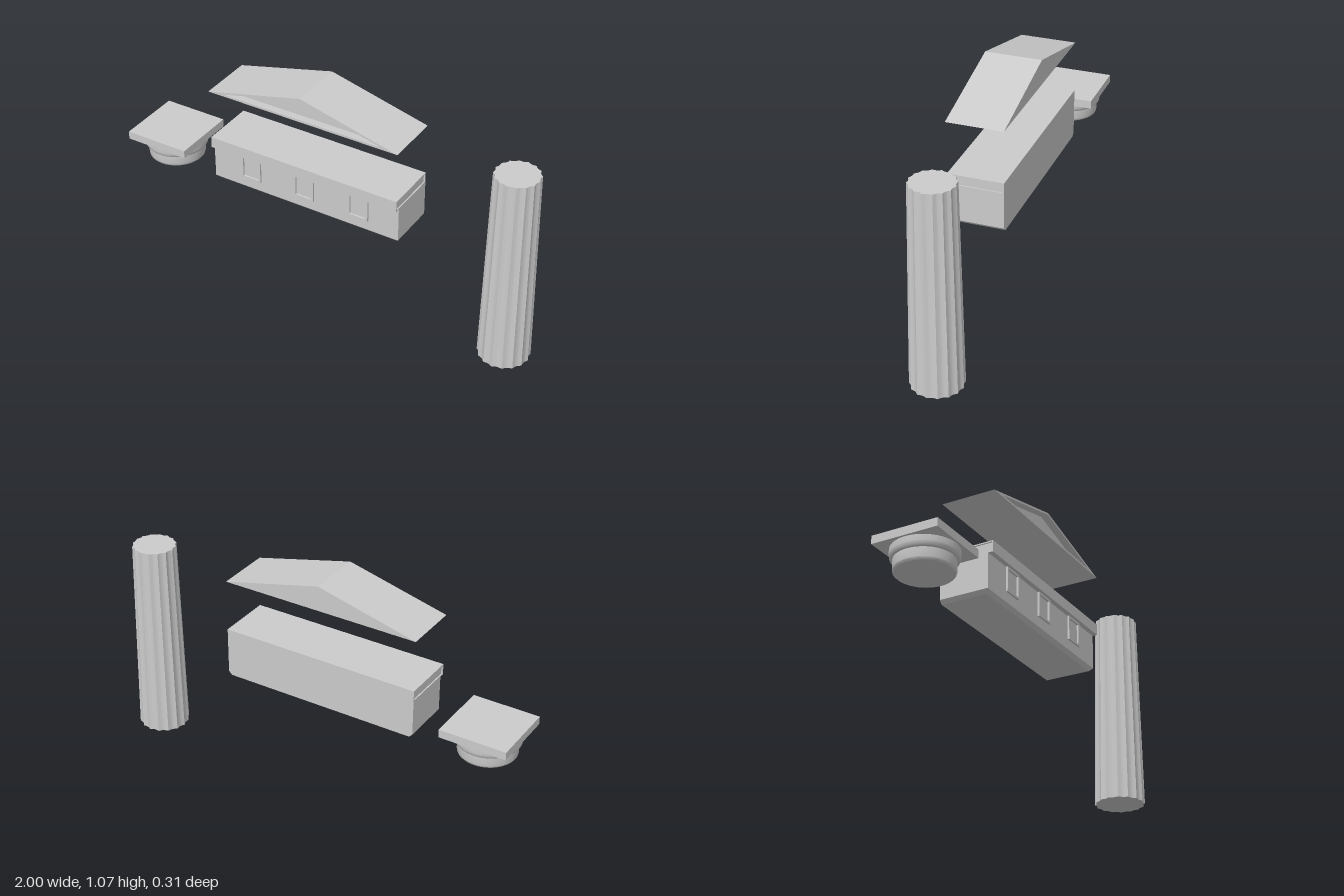
import * as THREE from 'three';
import { toCreasedNormals } from 'three/addons/utils/BufferGeometryUtils.js';

const grey = new THREE.MeshStandardMaterial({ color: 0xcccccc });

function add(parent, name, geometry, x = 0, y = 0, z = 0) {
  const mesh = new THREE.Mesh(geometry, grey);
  mesh.name = name;
  mesh.position.set(x, y, z);
  parent.add(mesh);
  return mesh;
}

const polygon = (points) => new THREE.Shape(points.map(([x, y]) => new THREE.Vector2(x, y)));
const rect = (x0, y0, x1, y1) => polygon([[x0, y0], [x1, y0], [x1, y1], [x0, y1]]);
const extrude = (shape, depth) => new THREE.ExtrudeGeometry(shape, { depth, bevelEnabled: false });

function frame(outer, inner, depth) {
  outer.holes.push(inner);
  return extrude(outer, depth);
}

// Tapered shaft with concave flutes meeting at sharp arrises
function shaftGeometry(height, rBottom, rTop, flutes = 16, steps = 6, depth = 0.008) {
  const points = [];
  for (let i = 0; i < flutes * steps; i++) {
    const a = (i / (flutes * steps)) * Math.PI * 2;
    const r = rBottom - depth * Math.sin(((i % steps) / steps) * Math.PI);
    points.push([r * Math.cos(a), r * Math.sin(a)]);
  }
  const geo = extrude(polygon(points), height).rotateX(-Math.PI / 2);
  const p = geo.attributes.position;
  for (let i = 0; i < p.count; i++) {
    const s = 1 + (rTop / rBottom - 1) * (p.getY(i) / height);
    p.setX(i, p.getX(i) * s);
    p.setZ(i, p.getZ(i) * s);
  }
  return toCreasedNormals(geo, 0.5);
}

// Block whose lower edge is chamfered at the front and both ends
function friezeGeometry(width, height, depth, chamfer) {
  const geo = new THREE.BoxGeometry(width, height, depth, 1, 2, 1);
  const p = geo.attributes.position;
  for (let i = 0; i < p.count; i++) {
    const y = p.getY(i);
    if (Math.abs(y) < 1e-4) p.setY(i, -height / 2 + chamfer);
    else if (y < 0) {
      p.setX(i, p.getX(i) - Math.sign(p.getX(i)) * chamfer);
      if (p.getZ(i) > 0) p.setZ(i, p.getZ(i) - chamfer);
    }
  }
  return toCreasedNormals(geo, 0.3);
}

export function createModel() {
  const model = new THREE.Group();

  // Column
  add(model, 'columnShaft', shaftGeometry(0.945, 0.118, 0.101), 0.881, 0, 0);

  // Capital: square slab over a round moulding
  const capital = new THREE.Group();
  capital.name = 'capital';
  capital.position.x = -0.844;
  model.add(capital);
  add(capital, 'abacus', new THREE.BoxGeometry(0.312, 0.038, 0.312), 0, 0.573, 0);
  const profile = [[0, 0.452], [0.124, 0.452], [0.129, 0.457], [0.131, 0.465], [0.131, 0.507],
    [0.138, 0.509], [0.144, 0.517], [0.146, 0.53], [0.146, 0.556], [0, 0.556]];
  const echinus = new THREE.LatheGeometry(profile.map(([x, y]) => new THREE.Vector2(x, y)), 48);
  add(capital, 'echinus', toCreasedNormals(echinus, 0.6));

  // Entablature: frieze, raised tablets and projecting cornice
  const entablature = new THREE.Group();
  entablature.name = 'entablature';
  entablature.position.x = -0.072;
  model.add(entablature);
  const half = 0.473, back = -0.118, lip = 0.138;
  add(entablature, 'frieze', friezeGeometry(2 * half, 0.18, 0.233, 0.016), 0, 0.566, -0.0015);
  for (const x of [-0.275, 0, 0.275]) {
    add(entablature, 'tabletFrame',
      frame(rect(-0.05, 0, 0.05, 0.116), rect(-0.04, 0.01, 0.04, 0.106), 0.011), x, 0.54, 0.113);
  }
  const inset = 0.006;
  add(entablature, 'cornice',
    new THREE.BoxGeometry(2 * (half - inset), 0.053, lip - back), 0, 0.6825, (lip + back) / 2);
  const w = (lip - back) / 2;
  for (const side of [-1, 1]) {
    const end = frame(rect(-w, -0.0265, w, 0.0265), rect(-w + 0.006, -0.0205, w - 0.006, 0.0205), inset);
    end.rotateY(side * Math.PI / 2);
    add(entablature, 'corniceEndFrame', end, side * (half - inset), 0.6825, (lip + back) / 2);
  }

  // Pediment: solid wedge with a recessed front triangle
  const pediment = new THREE.Group();
  pediment.name = 'pediment';
  pediment.position.set(-0.072, 0.95, 0);
  model.add(pediment);
  const rise = 0.117, recess = 0.035, front = 0.142;
  const triangle = () => polygon([[-half, 0], [half, 0], [0, rise]]);
  const opening = polygon([[-0.393, 0.01], [0.393, 0.01], [0, 0.107]]);
  add(pediment, 'tympanum', extrude(triangle(), front - recess - back), 0, 0, back);
  add(pediment, 'pedimentFrame', frame(triangle(), opening, recess), 0, 0, front - recess);

  return model;
}
